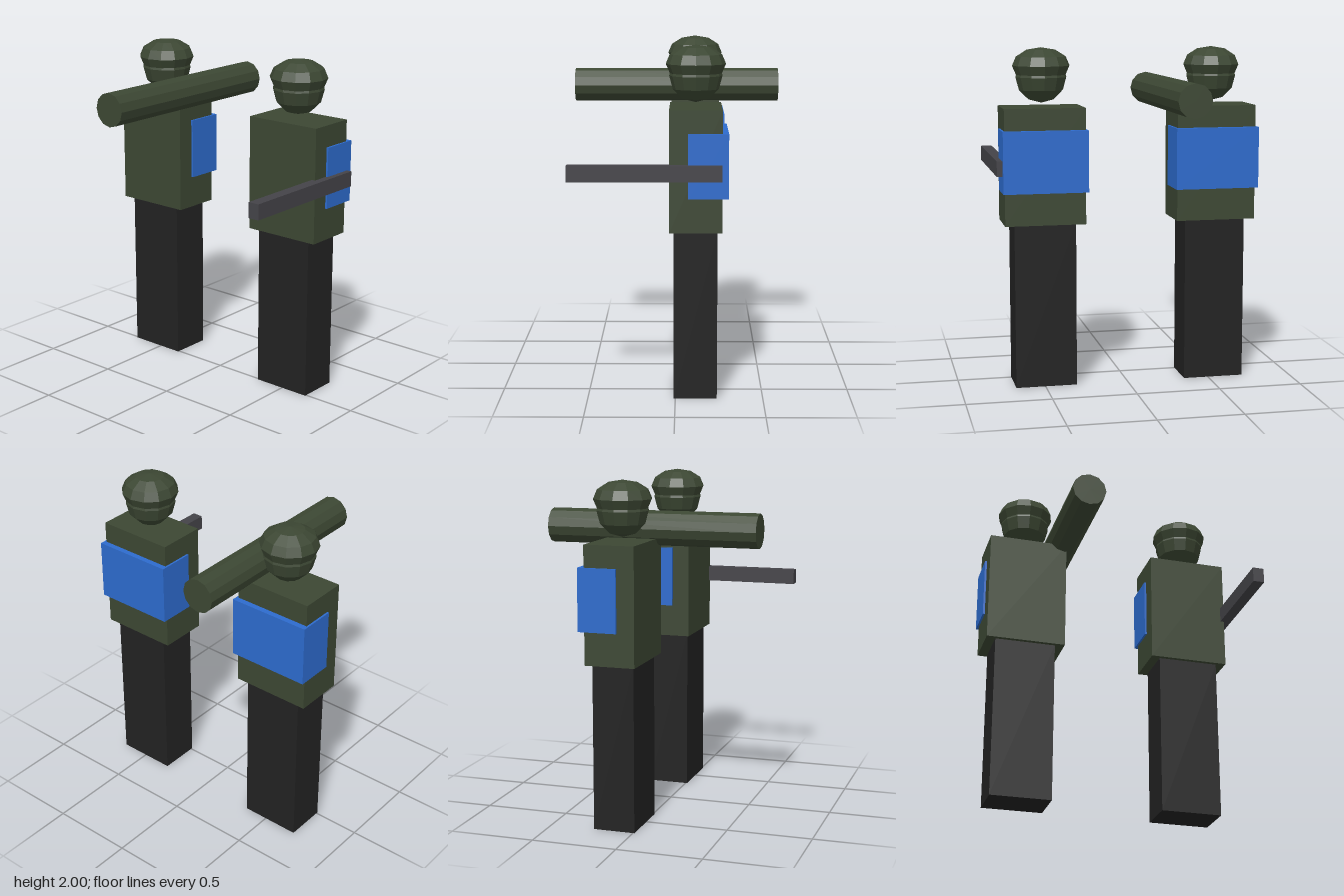
import * as THREE from 'three';

const material = (name, color, flatShading = false) => {
  const m = new THREE.MeshStandardMaterial({ color, flatShading });
  m.name = name;
  return m;
};

export function createModel() {
  const green = material('olive green', 0x3c4733, true);
  const black = material('trouser black', 0x222222, true);
  const blue = material('band blue', 0x2d6bcd, true);
  const grey = material('gun grey', 0x444348, true);

  const add = (parent, name, geometry, mat, x, y, z) => {
    const mesh = new THREE.Mesh(geometry, mat);
    mesh.name = name;
    mesh.position.set(x, y, z);
    parent.add(mesh);
    return mesh;
  };
  const box = (w, h, d) => new THREE.BoxGeometry(w, h, d);

  // One standing soldier, centred on its own x and z
  const makeSoldier = (name, x) => {
    const g = new THREE.Group();
    g.name = name;
    g.position.set(x, 0, -0.114);
    add(g, 'legs', box(0.364, 0.974, 0.246), black, 0, 0.487, 0);
    add(g, 'torso', box(0.476, 0.682, 0.295), green, 0, 1.315, 0);
    // Blue band wraps the back and the rear of both sides
    add(g, 'backBand', box(0.5, 0.362, 0.226), blue, 0, 1.347, -0.069);
    add(g, 'head', new THREE.SphereGeometry(0.15, 12, 6), green, 0, 1.829, 0);
    // Squashed dome helmet sitting over the head
    add(g, 'helmet', new THREE.SphereGeometry(0.169, 12, 6), green, 0, 1.895, 0).scale.y = 0.625;
    return g;
  };

  const model = new THREE.Group();
  model.name = 'twoSoldiers';
  const launcherSoldier = makeSoldier('launcherSoldier', -0.532);
  const rifleSoldier = makeSoldier('rifleSoldier', 0.493);
  model.add(launcherSoldier, rifleSoldier);

  // Shoulder-carried tube, running front to back
  const tube = new THREE.CylinderGeometry(0.101, 0.101, 1.25, 12).rotateX(Math.PI / 2);
  add(model, 'launcherTube', tube, green, -0.304, 1.711, 0);

  // Rifle held at the left side
  add(model, 'rifle', box(0.067, 0.09, 0.857), grey, 0.742, 1.311, 0.17);

  return model;
}
